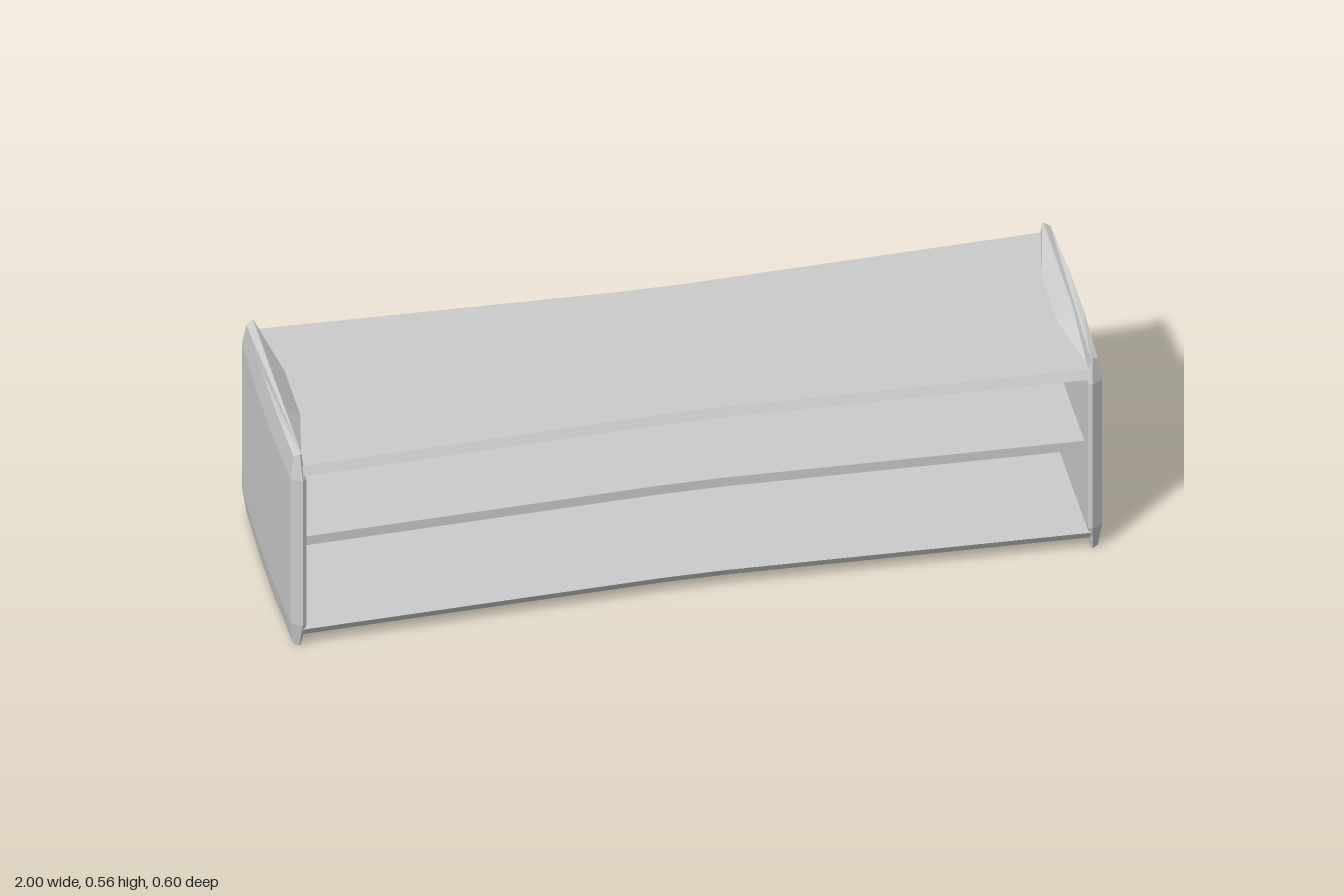
import * as THREE from 'three';

const material = new THREE.MeshStandardMaterial({ color: 0xcccccc, flatShading: true });

// Closed solid skinned over a row of equal-length rings of [x, y, z] points
function loft(name, rings) {
  const n = rings[0].length;
  const index = [];
  for (let r = 0; r < rings.length - 1; r++) {
    for (let i = 0; i < n; i++) {
      const a = r * n + i, b = r * n + (i + 1) % n;
      index.push(a, b, a + n, b, b + n, a + n);
    }
  }
  const last = (rings.length - 1) * n;
  for (let i = 1; i < n - 1; i++) {
    index.push(0, i + 1, i, last, last + i, last + i + 1);
  }
  // Signed volume tells whether the faces point outwards
  const pts = rings.flat().map(p => new THREE.Vector3(...p));
  let volume = 0;
  for (let i = 0; i < index.length; i += 3) {
    const [a, b, c] = [pts[index[i]], pts[index[i + 1]], pts[index[i + 2]]];
    volume += a.dot(b.clone().cross(c));
  }
  if (volume < 0) index.reverse();
  const geometry = new THREE.BufferGeometry().setFromPoints(pts);
  geometry.setIndex(index);
  const flat = geometry.toNonIndexed();
  flat.computeVertexNormals();
  const mesh = new THREE.Mesh(flat, material);
  mesh.name = name;
  return mesh;
}

// Board with waisted long edges; bevels shorten its depth at bottom and top
function board(name, y0, y1, inset, bevel0, bevel1) {
  const rings = [-0.965, -0.5, -0.08, 0.08, 0.5, 0.965].map(x => {
    const d = 0.265 + 0.033 * Math.abs(x) / 0.965 - inset;
    return [[x, y0, d - bevel0], [x, y1, d - bevel1], [x, y1, bevel1 - d], [x, y0, bevel0 - d]];
  });
  return loft(name, rings);
}

// End panel: slightly domed outside, chamfered front and back, tapered at top and bottom
function endPanel(name, side) {
  const ring = (y, yCorner, inner, edge, corner, outer, zEdge, zCorner) => [
    [inner, y, zEdge - 0.006], [edge, y, zEdge], [corner, yCorner, zCorner],
    [outer, y, 0.08], [outer, y, -0.08],
    [corner, yCorner, -zCorner], [edge, y, -zEdge], [inner, y, 0.006 - zEdge],
  ].map(([x, py, z]) => [side * x, py, z]);
  return loft(name, [
    ring(0, 0.004, 0.968, 0.972, 0.985, 0.99, 0.283, 0.276),
    ring(0.07, 0.07, 0.957, 0.967, 0.994, 1, 0.3, 0.283),
    ring(0.497, 0.497, 0.957, 0.967, 0.994, 1, 0.3, 0.283),
    ring(0.563, 0.556, 0.966, 0.97, 0.985, 0.99, 0.283, 0.276),
  ]);
}

// Sloping lip between the top board and the raised end panel
function lip(name, side) {
  const rings = [[-0.283, 0.962], [-0.08, 0.922], [0.08, 0.922], [0.283, 0.962]].map(([z, x]) => [
    [side * x, 0.528, z], [side * 0.966, 0.563, z], [side * 0.97, 0.528, z],
  ]);
  return loft(name, rings);
}

export function createModel() {
  const group = new THREE.Group();
  group.name = 'shelfUnit';
  group.add(
    board('topBoard', 0.51, 0.532, 0, 0, 0.012),
    board('bottomBoard', 0.035, 0.057, 0, 0.012, 0),
    board('middleShelf', 0.272, 0.298, 0.045, 0, 0),
  );
  for (const [label, side] of [['left', 1], ['right', -1]]) {
    group.add(endPanel(label + 'EndPanel', side), lip(label + 'Lip', side));
  }
  return group;
}
